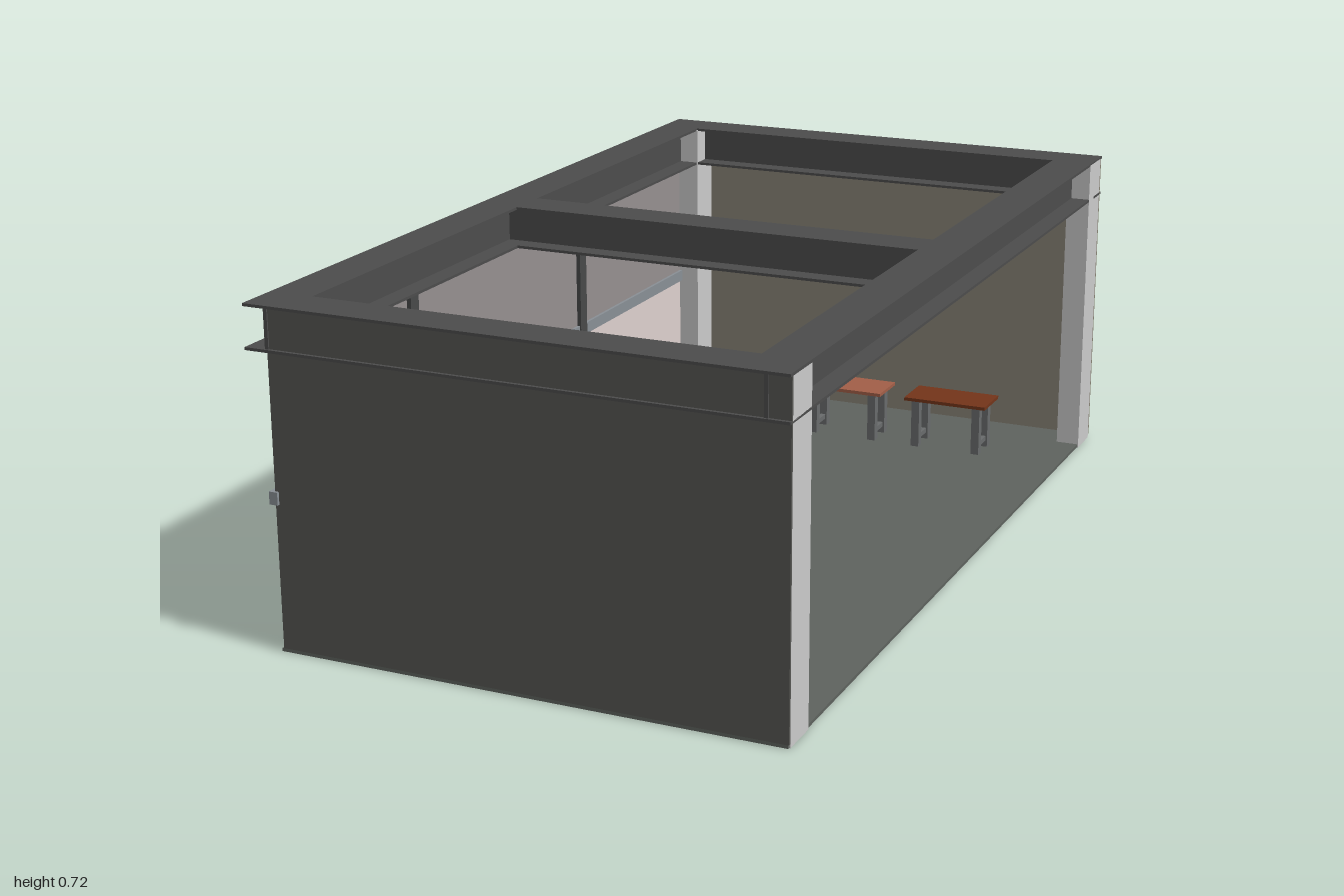
import * as THREE from 'three';

const mat = (color) => new THREE.MeshStandardMaterial({ color });
const STEEL = mat(0x4d4d4d), COLUMN = mat(0xcccccc), FLOOR = mat(0x5f635f), POST = mat(0x484a4a);
const FRONT = mat(0x565653), BACK = mat(0x8a8577), LOWER = mat(0xdfd2cf), UPPER = mat(0x969091);
const RAIL = mat(0x8a9096), LEG = mat(0x6a6c6d), BLACK = mat(0x141516), BASE = mat(0x333838), CABLE = mat(0x8c1c1c);

// Box given by its extents on each axis
function box(parent, name, material, x0, x1, y0, y1, z0, z1) {
  const mesh = new THREE.Mesh(new THREE.BoxGeometry(x1 - x0, y1 - y0, z1 - z0), material);
  mesh.position.set((x0 + x1) / 2, (y0 + y1) / 2, (z0 + z1) / 2);
  mesh.name = name;
  parent.add(mesh);
  return mesh;
}

// I-section beam running along local z
function iBeam(name, length, flangeLength = length) {
  const g = new THREE.Group();
  g.name = name;
  const h = length / 2, f = flangeLength / 2;
  box(g, 'topFlange', STEEL, -0.048, 0.048, 0.714, 0.72, -f, f);
  box(g, 'bottomFlange', STEEL, -0.048, 0.048, 0.626, 0.632, -f, f);
  box(g, 'web', STEEL, -0.004, 0.004, 0.632, 0.714, -h, h);
  return g;
}

// Table with four legs and low stretchers, long side along local x
function table(name, color, x, z, turn = 0) {
  const g = new THREE.Group();
  g.name = name;
  box(g, 'tableTop', mat(color), -0.104, 0.104, 0.127, 0.135, -0.054, 0.054);
  for (const sx of [-1, 1]) {
    const lx = sx * 0.078;
    for (const lz of [-0.034, 0.034])
      box(g, 'tableLeg', LEG, lx - 0.01, lx + 0.01, 0.008, 0.127, lz - 0.01, lz + 0.01);
    box(g, 'stretcher', LEG, lx - 0.006, lx + 0.006, 0.024, 0.036, -0.03, 0.03);
    box(g, 'topRail', LEG, lx - 0.006, lx + 0.006, 0.115, 0.127, -0.03, 0.03);
  }
  g.position.set(x, 0, z);
  g.rotation.y = turn;
  return g;
}

// Screen on a stand, screen plane along local x
function monitor(x, z, turn) {
  const g = new THREE.Group();
  g.name = 'monitor';
  box(g, 'monitorBase', BASE, -0.07, 0.07, 0, 0.022, -0.033, 0.033);
  box(g, 'monitorStand', BASE, -0.012, 0.012, 0.022, 0.09, -0.012, -0.002);
  const screen = box(g, 'screen', BLACK, -0.086, 0.086, 0.058, 0.17, -0.004, 0.004);
  screen.rotation.x = -0.06;
  g.position.set(x, 0.135, z);
  g.rotation.y = turn;
  return g;
}

function cable(points) {
  const path = new THREE.CurvePath();
  const v = points.map((p) => new THREE.Vector3(...p));
  for (let i = 1; i < v.length; i++) path.add(new THREE.LineCurve3(v[i - 1], v[i]));
  const mesh = new THREE.Mesh(new THREE.TubeGeometry(path, 40, 0.0028, 6), CABLE);
  mesh.name = 'cable';
  return mesh;
}

export function createModel() {
  const model = new THREE.Group();
  model.name = 'room';

  // Floor and end walls
  box(model, 'floor', FLOOR, -0.527, 0.568, 0.001, 0.008, -0.984, 0.984);
  box(model, 'frontWall', FRONT, -0.523, 0.57, 0.008, 0.714, 0.978, 0.984);
  box(model, 'backWall', BACK, -0.523, 0.57, 0.008, 0.714, -0.984, -0.978);

  // Corner columns
  for (const x of [-0.526, 0.515])
    for (const z of [-0.978, 0.89])
      box(model, 'column', COLUMN, x, x + 0.055, 0, 0.716, z, z + 0.088);

  // Roof frame
  for (const x of [-0.522, 0.522]) {
    const beam = iBeam('sideBeam', 1.974, 1.982);
    beam.position.x = x;
    model.add(beam);
  }
  for (const z of [-0.943, 0.022, 0.943]) {
    const beam = iBeam('crossBeam', 1.04, 0.95);
    beam.rotation.y = Math.PI / 2;
    beam.position.z = z;
    model.add(beam);
  }

  // Panelled side wall: lower and upper panels, posts and middle rail
  box(model, 'lowerPanel', LOWER, -0.527, -0.522, 0.008, 0.315, -0.89, 0.978);
  box(model, 'upperPanel', UPPER, -0.527, -0.522, 0.34, 0.627, -0.89, 0.978);
  box(model, 'middleRail', RAIL, -0.534, -0.515, 0.314, 0.341, -0.9, 0.99);
  for (const z of [0.455, -0.32])
    box(model, 'wallPost', POST, -0.533, -0.512, 0.006, 0.627, z - 0.016, z + 0.016);

  // Tables along the back wall
  [[-0.27, 0x9c6156], [0.008, 0xa35f48], [0.28, 0x74351a]].forEach(([x, c]) =>
    model.add(table('backTable', c, x, -0.756)));

  // L-shaped row of desks in the front corner
  model.add(table('sideDesk', 0xcccccc, -0.29, 0.583, Math.PI / 2));
  model.add(table('cornerDesk', 0x8f4e36, -0.29, 0.789, Math.PI / 2));
  for (const i of [0, 1, 2]) model.add(table('frontDesk', 0xa8746b, -0.135 + i * 0.211, 0.84));

  // Monitors
  model.add(monitor(-0.281, 0.59, Math.PI / 2));
  model.add(monitor(0.142, 0.838, Math.PI));

  // Cables over floor and desks
  const f = 0.011, d = 0.137;
  [
    [[-0.48, f, -0.25], [-0.42, f, -0.18], [-0.385, f, -0.03], [-0.36, f, -0.05]],
    [[-0.385, f, -0.03], [-0.41, f, 0.08], [-0.45, f, 0.15], [-0.468, f, 0.36], [-0.4, f, 0.46], [-0.345, f, 0.52], [-0.345, d, 0.58], [-0.315, d, 0.615]],
    [[-0.36, f, 0.1], [-0.405, f, 0.37], [-0.445, f, 0.5]],
    [[-0.445, f, 0.54], [-0.345, f, 0.505]],
    [[-0.32, d, 0.62], [-0.315, d, 0.715], [0.07, d, 0.87], [0.13, d, 0.872]],
    [[-0.235, d, 0.555], [-0.185, d, 0.53]],
  ].forEach((p) => model.add(cable(p)));

  // The whole room sits slightly turned
  model.rotation.y = 0.0085;
  const root = new THREE.Group();
  root.name = 'model';
  root.add(model);
  return root;
}
